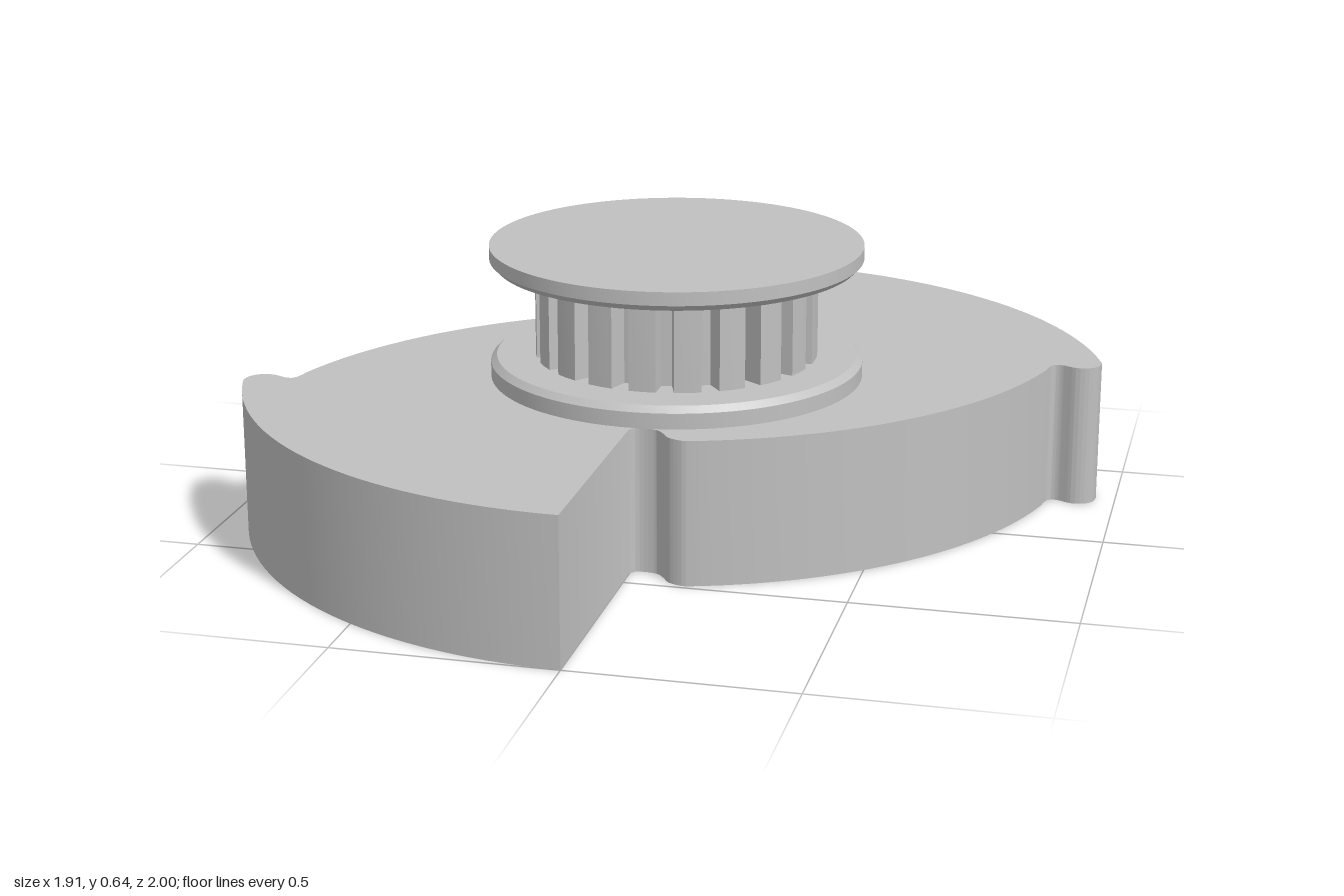
import * as THREE from 'three';
import { toCreasedNormals } from 'three/addons/utils/BufferGeometryUtils.js';

const PLATE_TOP = 0.335, LOWER_TOP = 0.385, UPPER_BOTTOM = 0.6, TOP = 0.645;
const FLANGE_R = 0.43, CHAMFER = 0.014;
const TEETH = 20, TOOTH_R = 0.326, ROOT_R = 0.275;

const v = (x, y) => new THREE.Vector2(x, y);

// Extrude a plan outline upward between two heights, with sharp edges kept
function extrudeUp(points, y0, y1) {
  const g = new THREE.ExtrudeGeometry(new THREE.Shape(points), { depth: y1 - y0, bevelEnabled: false });
  g.rotateX(-Math.PI / 2).translate(0, y0, 0);
  return toCreasedNormals(g, 0.5);
}

// Half of the cam outline; the other half is the same turned by 180 degrees
function camOutline() {
  const half = new THREE.Path();
  half.moveTo(0, 1);
  half.absarc(0, 0, 1, Math.PI / 2, 0.302, true);           // outer sector
  half.splineThru([v(0.95, 0.27), v(0.933, 0.251), v(0.902, 0.245),  // rounded tip and notch
    v(0.865, 0.26), v(0.845, 0.254), v(0.834, 0.22)]);
  half.absarc(-0.14, 0.48, 1.01, -0.262, -1.279, true);     // shallow flank
  half.splineThru([v(0.13, -0.49), v(0.098, -0.477), v(0.078, -0.45),  // rounded hook
    v(0.06, -0.432), v(0.03, -0.427), v(0.01, -0.431), v(0, -0.445)]);
  const pts = half.getPoints(16);
  return [...pts, ...pts.map(p => v(-p.x, -p.y))];
}

// Trapezoidal belt teeth around the hub
function toothOutline() {
  const pts = [], pitch = (Math.PI * 2) / TEETH;
  for (let i = 0; i < TEETH; i++) {
    for (const [f, r] of [[-0.3, TOOTH_R], [0, TOOTH_R], [0.3, TOOTH_R], [0.36, ROOT_R], [0.64, ROOT_R]]) {
      const a = (i + f) * pitch;
      pts.push(v(Math.cos(a) * r, Math.sin(a) * r));
    }
  }
  return pts;
}

// Disc with a small chamfer on its lower or upper rim
function flange(y0, y1, chamferTop) {
  const rim = chamferTop
    ? [v(FLANGE_R, y0), v(FLANGE_R, y1 - CHAMFER), v(FLANGE_R - CHAMFER, y1)]
    : [v(FLANGE_R - CHAMFER, y0), v(FLANGE_R, y0 + CHAMFER), v(FLANGE_R, y1)];
  return toCreasedNormals(new THREE.LatheGeometry([v(0, y0), ...rim, v(0, y1)], 96), 0.5);
}

export function createModel() {
  const model = new THREE.Group();
  const grey = new THREE.MeshStandardMaterial({ color: 0xc0c0c0 });
  grey.name = 'plain grey';

  const add = (name, geometry) => {
    const mesh = new THREE.Mesh(geometry, grey);
    mesh.name = name;
    model.add(mesh);
  };

  add('camPlate', extrudeUp(camOutline(), 0, PLATE_TOP));
  add('lowerFlange', flange(PLATE_TOP, LOWER_TOP, true));
  add('toothedHub', extrudeUp(toothOutline(), LOWER_TOP, UPPER_BOTTOM));
  add('upperFlange', flange(UPPER_BOTTOM, TOP, false));
  return model;
}
